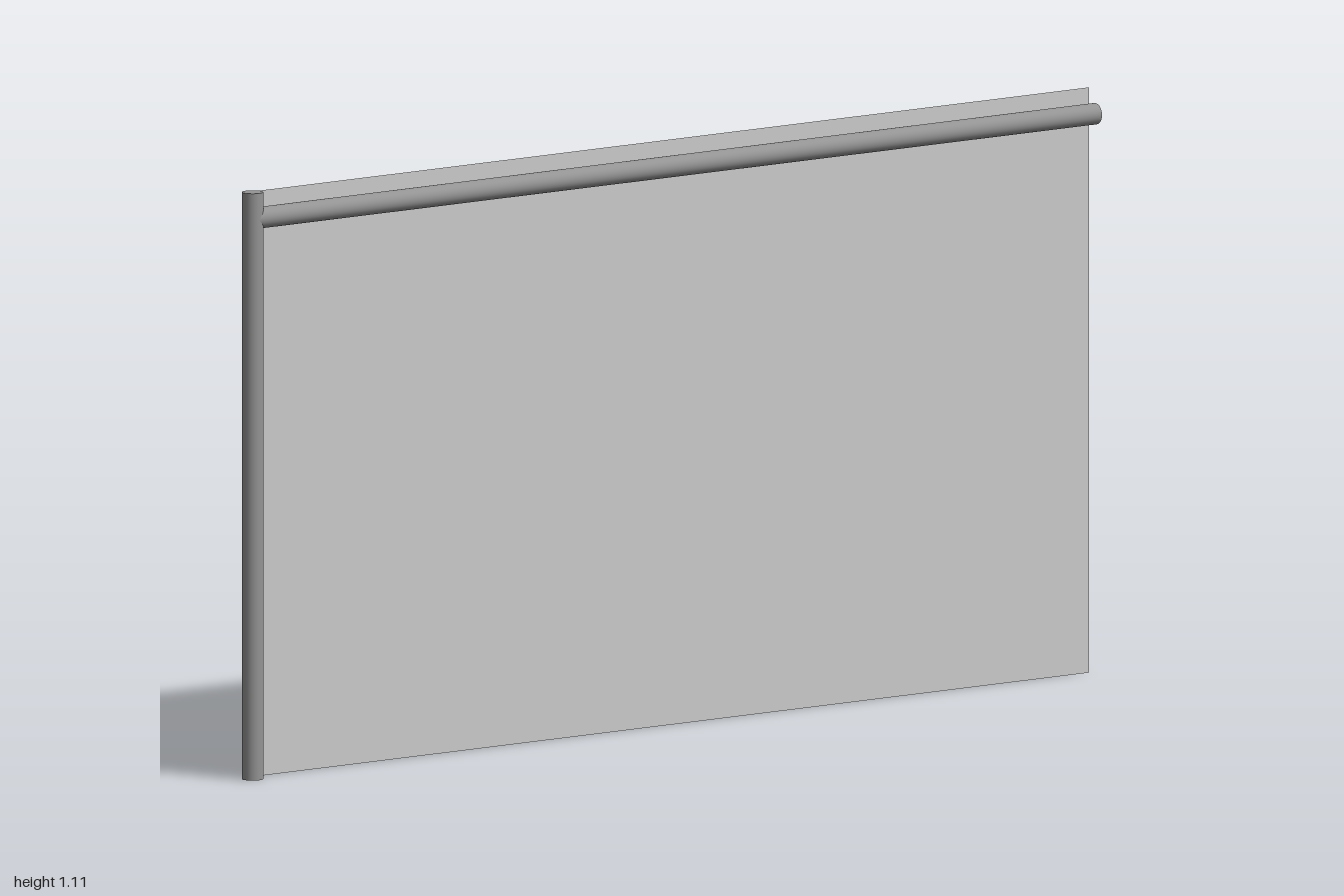
import * as THREE from 'three';

export function createModel() {
  const model = new THREE.Group();
  const tubeGrey = new THREE.MeshStandardMaterial({ color: 0x949494 });
  const panelGrey = new THREE.MeshStandardMaterial({ color: 0xcccccc, side: THREE.DoubleSide });

  const radius = 0.02;
  const height = 1.107;
  const postZ = 1 - radius;
  const railLength = postZ + 1;
  const midZ = (postZ - 1) / 2;

  const addPart = (name, geometry, material, x, y, z) => {
    const mesh = new THREE.Mesh(geometry, material);
    mesh.name = name;
    mesh.position.set(x, y, z);
    model.add(mesh);
  };

  // Upright post at the front end
  addPart('post', new THREE.CylinderGeometry(radius, radius, height, 32),
    tubeGrey, 0, height / 2, postZ);

  // Horizontal rail running back from the post's axis
  addPart('topRail', new THREE.CylinderGeometry(radius, radius, railLength, 32).rotateX(Math.PI / 2),
    tubeGrey, 0, 1.057, midZ);

  // Thin sheet touching the outer side of the tubes
  const panelHeight = 1.104;
  addPart('panel', new THREE.PlaneGeometry(railLength, panelHeight).rotateY(-Math.PI / 2),
    panelGrey, -radius, panelHeight / 2, midZ);

  return model;
}
